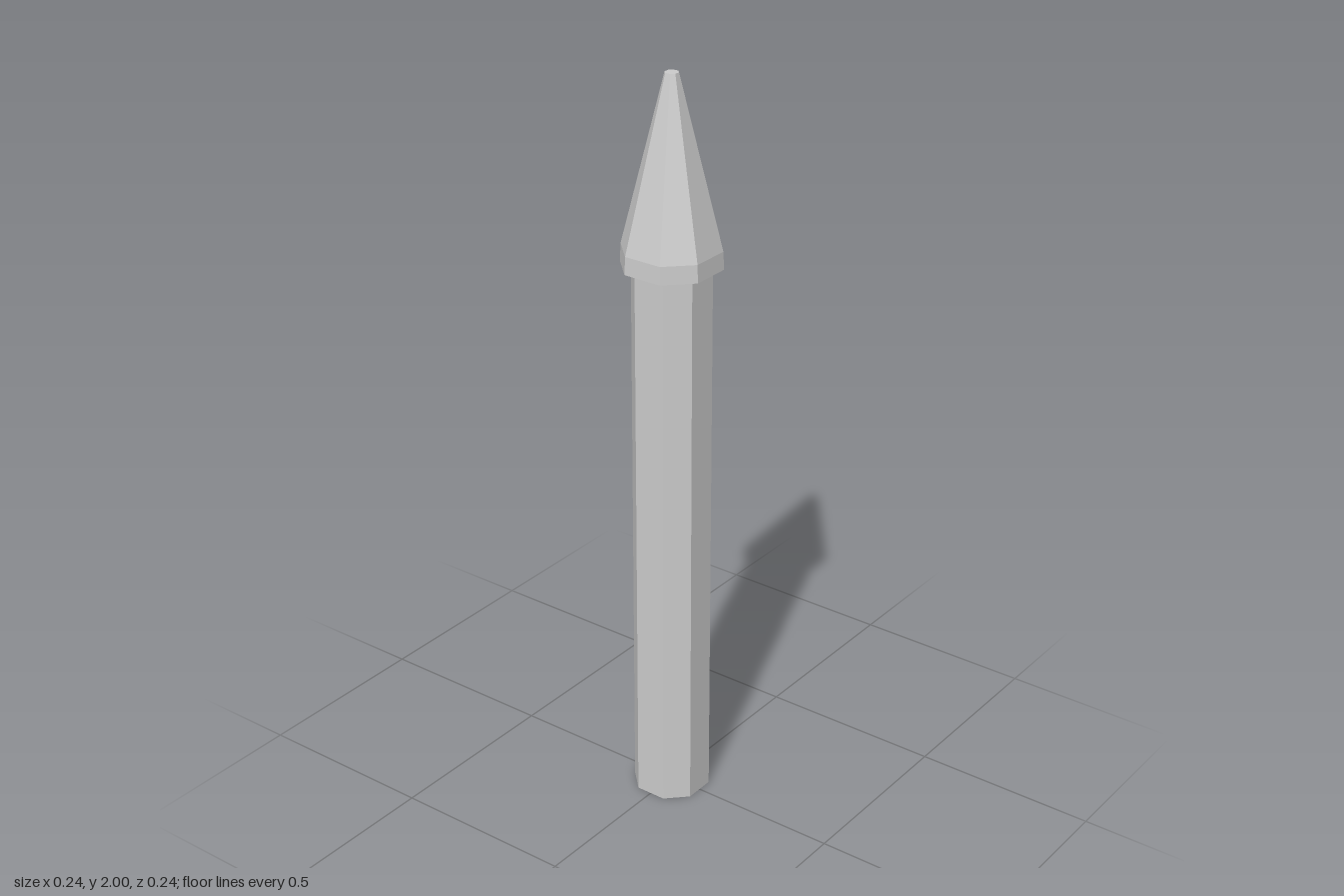
import * as THREE from 'three';

const material = new THREE.MeshStandardMaterial({ color: 0xcccccc, flatShading: true });
const sides = 8;
const halfStep = Math.PI / sides;
const flatRatio = 0.45; // half width of an axis-facing flat, relative to its distance from the centre

// Eight-sided tapered prism with slightly widened flats facing +-x and +-z.
function octagonPrism(name, topApothem, bottomApothem, y0, y1, openEnded = false) {
  const k = 1 / Math.cos(halfStep);
  const geometry = new THREE.CylinderGeometry(
    topApothem * k, bottomApothem * k, y1 - y0, sides, 1, openEnded, halfStep);
  const widen = flatRatio / Math.tan(halfStep);
  const pos = geometry.attributes.position;
  for (let i = 0; i < pos.count; i++) {
    const x = pos.getX(i), z = pos.getZ(i);
    if (Math.abs(x) < Math.abs(z)) pos.setX(i, x * widen);
    else pos.setZ(i, z * widen);
  }
  geometry.translate(0, (y0 + y1) / 2, 0);
  geometry.computeVertexNormals();
  const mesh = new THREE.Mesh(geometry, material);
  mesh.name = name;
  return mesh;
}

export function createModel() {
  const model = new THREE.Group();
  model.name = 'fencePost';

  // Straight shaft
  model.add(octagonPrism('shaft', 0.094, 0.094, 0, 1.51));

  // Pointed head: short collar below a long taper with a blunt tip
  const head = new THREE.Group();
  head.name = 'head';
  head.add(octagonPrism('collar', 0.117, 0.119, 1.51, 1.557));
  head.add(octagonPrism('point', 0.016, 0.117, 1.557, 2));
  model.add(head);

  return model;
}
